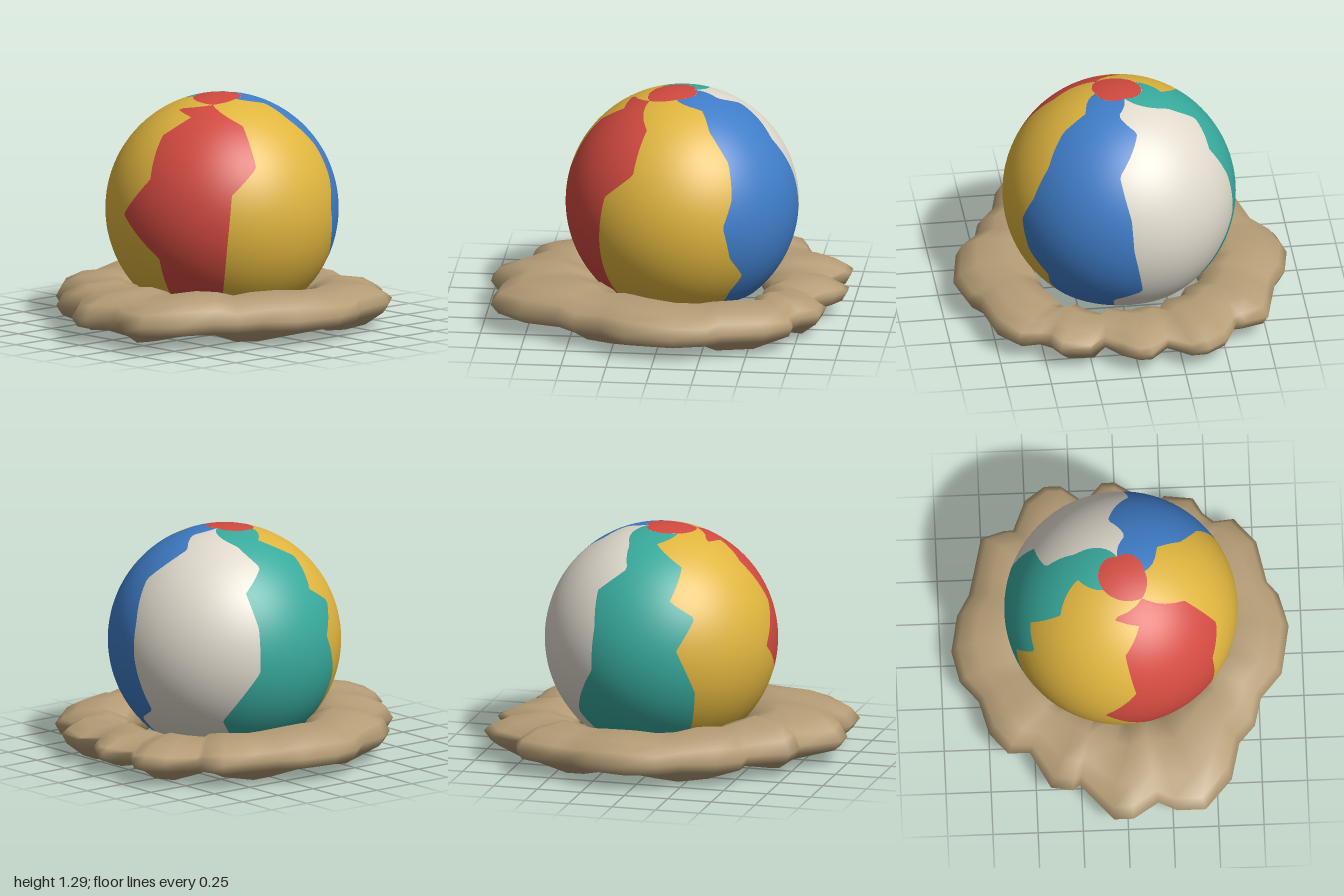
import * as THREE from 'three';
import { mergeVertices } from 'three/addons/utils/BufferGeometryUtils.js';

const R = 0.645, CENTER = new THREE.Vector3(0.07, 0.645, 0);
const RAD = Math.PI / 180, lerp = THREE.MathUtils.lerp;
const THETA_END = Math.acos(-0.74); // ball is cut flat here

const mat = (name, color) => {
  const m = new THREE.MeshStandardMaterial({ color });
  m.name = name;
  return m;
};

// surface from a grid of points: fn(row 0..1, column 0..1)
function grid(rows, cols, fn) {
  const pos = [], idx = [];
  for (let i = 0; i <= rows; i++)
    for (let j = 0; j <= cols; j++) pos.push(...fn(i / rows, j / cols).toArray());
  for (let i = 0; i < rows; i++)
    for (let j = 0; j < cols; j++) {
      const a = i * (cols + 1) + j, b = a + cols + 1;
      idx.push(a, a + 1, b + 1, a, b + 1, b);
    }
  const g = new THREE.BufferGeometry();
  g.setAttribute('position', new THREE.Float32BufferAttribute(pos, 3));
  g.setIndex(idx);
  return g;
}

const onBall = (theta, phi) => new THREE.Vector3(
  Math.sin(theta) * Math.cos(phi * RAD), Math.cos(theta), Math.sin(theta) * Math.sin(phi * RAD)
).multiplyScalar(R).add(CENTER);

function ballNormals(g) {
  const p = g.attributes.position, n = [], v = new THREE.Vector3();
  for (let i = 0; i < p.count; i++) n.push(...v.fromBufferAttribute(p, i).sub(CENTER).normalize().toArray());
  g.setAttribute('normal', new THREE.Float32BufferAttribute(n, 3));
  return g;
}

// panel seams from top to bottom: [height on unit sphere, azimuth in degrees]
const seams = {
  whiteBlue: [[0.994, -16], [0.95, 8.5], [0.872, -11], [0.625, 7], [0.287, 1], [0, 0], [-0.488, -6], [-0.61, 11], [-0.74, 11]],
  blueYellow: [[0.979, 99], [0.93, 57], [0.81, 61], [0.58, 55], [0.302, 57.6], [0.07, 63.7], [-0.225, 59.4], [-0.426, 49.4], [-0.58, 54], [-0.74, 54]],
  yellowRed: [[0.949, 147], [0.81, 115], [0.488, 113], [0.271, 127.7], [-0.147, 130], [-0.58, 132], [-0.74, 132]],
  redYellow: [[0.949, 147], [0.902, 194], [0.866, 164], [0.716, 179], [0.37, 174], [0.04, 190], [-0.31, 167], [-0.74, 168]],
  yellowTeal: [[0.97, 220], [0.926, 260], [0.778, 238], [0.536, 249.5], [0.4, 236], [0.135, 247], [-0.248, 237], [-0.74, 235]],
  tealWhite: [[0.994, 344], [0.906, 294], [0.762, 281], [0.583, 296], [0.298, 291], [-0.08, 291], [-0.53, 310], [-0.74, 303]],
};

// point [theta, azimuth] on a seam, t from 0 at its top to 1 at the cut
function seamAt(seam, t, turn) {
  const pts = seam.map(([y, a]) => [Math.acos(y), a + turn]);
  const theta = lerp(pts[0][0], THETA_END, t);
  for (let i = 1; i < pts.length; i++) {
    const [t0, a0] = pts[i - 1], [t1, a1] = pts[i];
    if (theta <= t1 || i === pts.length - 1)
      return [theta, lerp(a0, a1, Math.min(1, (theta - t0) / (t1 - t0)))];
  }
}

function makeBall(m) {
  const ball = new THREE.Group();
  ball.name = 'ball';
  const add = (g, material, name) => {
    const mesh = new THREE.Mesh(g, material);
    mesh.name = name;
    ball.add(mesh);
  };
  const s = seams;
  const panels = [
    ['whitePanel', m.white, s.tealWhite, s.whiteBlue, -360],
    ['bluePanel', m.blue, s.whiteBlue, s.blueYellow, 0],
    ['frontYellowPanel', m.yellow, s.blueYellow, s.yellowRed, 0],
    ['redPanel', m.red, s.yellowRed, s.redYellow, 0],
    ['backYellowPanel', m.yellow, s.redYellow, s.yellowTeal, 0],
    ['tealPanel', m.teal, s.yellowTeal, s.tealWhite, 0],
  ];
  const apex = new THREE.Vector3(-0.28, CENTER.y - 0.74 * R, -0.17);
  for (const [name, material, left, right, turn] of panels) {
    const point = (t, k) => {
      const a = seamAt(left, t, turn), b = seamAt(right, t, 0);
      return onBall(lerp(a[0], b[0], k), lerp(a[1], b[1], k));
    };
    add(ballNormals(grid(60, 14, point)), material, name);
    // flat underside, fanned from one point of the rim
    const under = grid(1, 8, (i, j) => (i === 0 ? point(1, j) : apex.clone()));
    under.computeVertexNormals();
    add(under, material, name + 'Underside');
  }
  // four-cornered patch over the pole
  const corners = [s.whiteBlue[0], s.blueYellow[0], s.yellowRed[0], s.yellowTeal[0], [0.994, 344]];
  add(ballNormals(grid(5, 32, (t, k) => {
    const e = Math.min(3, Math.floor(k * 4)), f = k * 4 - e;
    const [y0, a0] = corners[e], [y1, a1] = corners[e + 1];
    return onBall(t * lerp(Math.acos(y0), Math.acos(y1), f), lerp(a0, a1, f));
  })), m.red, 'topPatch');
  return ball;
}

// outer edge of the sand, clockwise from above, as [x, z]
const outline = [
  [0.99, 0], [0.93, 0.09], [0.82, 0.18], [0.9, 0.27], [0.88, 0.43], [0.79, 0.48], [0.74, 0.54], [0.75, 0.65],
  [0.61, 0.77], [0.37, 0.82], [0.3, 0.88], [0.11, 0.93], [-0.17, 0.88], [-0.31, 0.76], [-0.47, 0.72],
  [-0.57, 0.63], [-0.78, 0.58], [-0.95, 0.43], [-0.95, 0.27], [-0.9, 0.17], [-0.99, 0.03], [-0.99, -0.08],
  [-0.78, -0.26], [-0.81, -0.3], [-0.79, -0.42], [-0.58, -0.53], [-0.58, -0.65], [-0.46, -0.75],
  [-0.27, -0.8], [-0.15, -0.9], [0.03, -0.94], [0.24, -0.9], [0.36, -0.83], [0.48, -0.8], [0.69, -0.75],
  [0.73, -0.62], [0.73, -0.57], [0.9, -0.5], [0.98, -0.39], [0.98, -0.3], [0.88, -0.17], [0.99, -0.07],
];
// cross-section: [share of the way outward, height]
const section = [[0, 0.13], [0.08, 0.22], [0.35, 0.265], [0.72, 0.245], [0.92, 0.2], [1, 0.145],
  [0.93, 0.09], [0.7, 0.045], [0.38, 0.03], [0.1, 0.06], [0, 0.13]];

function makeSand(material) {
  const n = outline.length;
  let g = grid(section.length - 1, n, (i, j) => {
    const col = Math.round(j * n) % n;
    const [x, z] = outline[col];
    const [f, h] = section[Math.round(i * (section.length - 1))];
    const phi = Math.atan2(z, x - CENTER.x);
    // jagged inner edge, wider where a gap opens beside the ball
    const inner = 0.46 + 0.025 * Math.sin(col * 2.3) + 0.07 * Math.max(0, Math.cos(phi - 0.75)) ** 8;
    // lower on the left side, lumpy all round
    let y = h;
    if (h > 0.15) y += 0.012 * Math.sin(col * 1.7) - 0.04 * Math.max(0, Math.cos(phi)) ** 2 + 0.015 * Math.max(0, -Math.cos(phi));
    else if (h < 0.08) y += 0.029 * Math.sin(col * 1.3);
    return new THREE.Vector3(
      lerp(CENTER.x + inner * Math.cos(phi), x, f), y, lerp(inner * Math.sin(phi), z, f));
  });
  g = mergeVertices(g, 1e-4);
  g.computeVertexNormals();
  const mesh = new THREE.Mesh(g, material);
  mesh.name = 'sandRing';
  return mesh;
}

export function createModel() {
  const m = {
    white: mat('cream white', 0xe0dacd),
    blue: mat('blue', 0x3f7dc8),
    yellow: mat('yellow', 0xe0b53f),
    red: mat('red', 0xd24a40),
    teal: mat('teal', 0x38aa9d),
    sand: mat('sand', 0xb59d76),
  };
  const model = new THREE.Group();
  model.name = 'ballOnSand';
  model.add(makeBall(m), makeSand(m.sand));
  return model;
}
